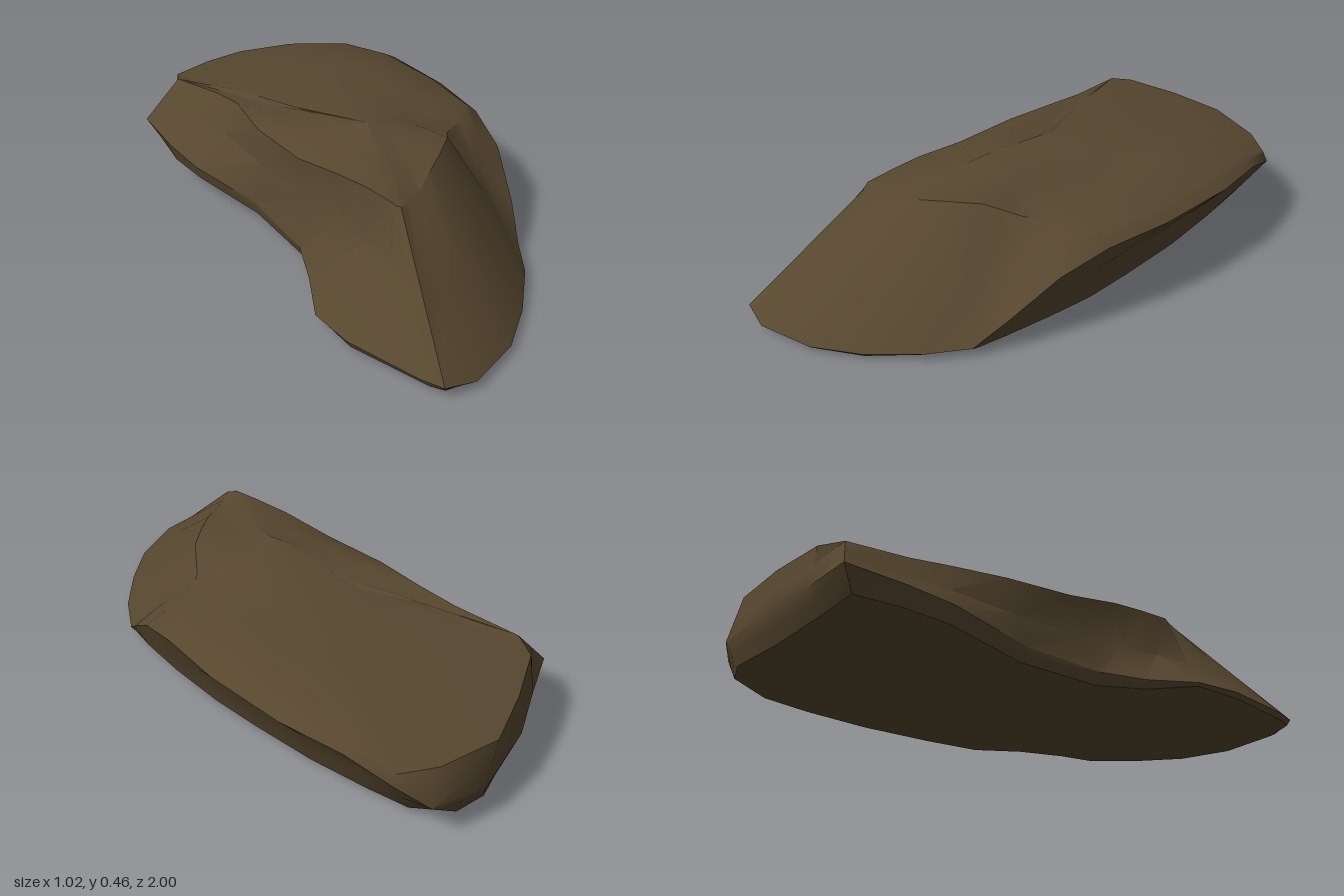
import * as THREE from 'three';
import { toCreasedNormals } from 'three/addons/utils/BufferGeometryUtils.js';

// Closed outlines of the boulder, all starting at the front tip and running
// along the left flank (+x), round the back and home along the right flank.
const FOOT = [
  [-.28, .03, .98], [-.18, .02, .97], [0, .015, .91], [.14, .012, .79], [.26, .02, .64],
  [.35, .03, .49], [.37, .04, .38], [.375, .035, .2], [.35, .005, 0], [.33, .005, -.2],
  [.3, .01, -.45], [.26, .02, -.67], [.23, .035, -.83], [.14, .05, -.95], [.02, .045, -.96],
  [-.18, .045, -.88], [-.35, .08, -.79], [-.475, .115, -.72], [-.48, .1, -.56], [-.45, .09, -.4],
  [-.35, .055, -.12], [-.32, .035, .17], [-.37, .03, .34], [-.44, .04, .5], [-.42, .03, .67],
  [-.31, .03, .94],
];
const RIM = [
  [-.29, .05, .99], [-.18, .035, 1], [.01, .03, .92], [.15, .03, .8], [.28, .04, .65],
  [.36, .045, .51], [.41, .14, .4], [.465, .27, .23], [.495, .325, .05], [.51, .33, -.2],
  [.485, .33, -.5], [.42, .31, -.72], [.36, .25, -.87], [.28, .17, -.96], [.08, .15, -1],
  [-.2, .15, -.92], [-.37, .17, -.83], [-.515, .195, -.76], [-.5, .17, -.56], [-.47, .15, -.39],
  [-.36, .11, -.1], [-.335, .08, .18], [-.38, .06, .33], [-.45, .05, .5], [-.43, .05, .66],
  [-.33, .05, .92],
];
const CROWN = [
  [-.18, .41, .57], [-.14, .395, .55], [-.07, .4, .51], [0, .42, .46], [.09, .43, .39],
  [.17, .435, .32], [.24, .385, .22], [.33, .375, .16], [.45, .365, .05], [.46, .365, -.2],
  [.43, .365, -.48], [.37, .34, -.7], [.34, .285, -.865], [.22, .285, -.93], [0, .285, -.97],
  [-.18, .31, -.9], [-.35, .33, -.81], [-.38, .35, -.73], [-.32, .375, -.5], [-.3, .39, -.35],
  [-.315, .38, -.15], [-.29, .38, .1], [-.25, .41, .3], [-.22, .42, .43], [-.2, .42, .54],
  [-.19, .41, .56],
];

// Sideways hollows by station: under the left overhang, and in the right wall
const UNDERCUT = { 8: -.02, 9: -.035, 10: -.035, 11: -.02 };
const HOLLOW = { 18: .02, 19: .035, 20: .02, 21: .04, 22: .06, 23: .09, 24: .085, 25: .02 };

// Ring halfway between two outlines, pushed in along x
function middleRing(lower, upper, push) {
  return lower.map(([x, y, z], i) => {
    const u = upper[i];
    return [(x + u[0]) / 2 + (push[i] || 0), (y + u[1]) / 2, (z + u[2]) / 2];
  });
}

// Upper plateau: the crown shrunk inwards, raised at the front and right
function plateauRing(scale) {
  const { smoothstep } = THREE.MathUtils;
  return CROWN.map(([x, , z]) => {
    const px = x * scale, pz = .05 + (z - .05) * scale;
    return [px, .387 + .05 * smoothstep(pz, -.25, .06) * (1 - smoothstep(px, .05, .25)), pz];
  });
}

function boulderGeometry() {
  const rings = [
    FOOT, middleRing(FOOT, RIM, UNDERCUT), RIM, middleRing(RIM, CROWN, HOLLOW),
    CROWN, plateauRing(.6), plateauRing(.35),
  ];
  const n = FOOT.length;
  const positions = rings.flat(2);
  const bottom = rings.length * n;
  const peak = bottom + 1;
  positions.push(0, .025, 0, -.04, .466, .14);

  const index = [];
  for (let i = 0; i < n; i++) {
    const j = (i + 1) % n;
    // Side walls and plateau
    for (let r = 0; r < rings.length - 1; r++) {
      const a = r * n, b = a + n;
      index.push(a + i, a + j, b + j, a + i, b + j, b + i);
    }
    // Underside and summit
    const top = (rings.length - 1) * n;
    index.push(bottom, j, i, peak, top + i, top + j);
  }
  const geometry = new THREE.BufferGeometry();
  geometry.setAttribute('position', new THREE.Float32BufferAttribute(positions, 3));
  geometry.setIndex(index);
  return toCreasedNormals(geometry, .65);
}

export function createModel() {
  const group = new THREE.Group();
  group.name = 'rock';
  const stone = new THREE.MeshStandardMaterial({ color: 0x57472f });
  stone.name = 'brown stone';
  const boulder = new THREE.Mesh(boulderGeometry(), stone);
  boulder.name = 'boulder';
  group.add(boulder);
  return group;
}
